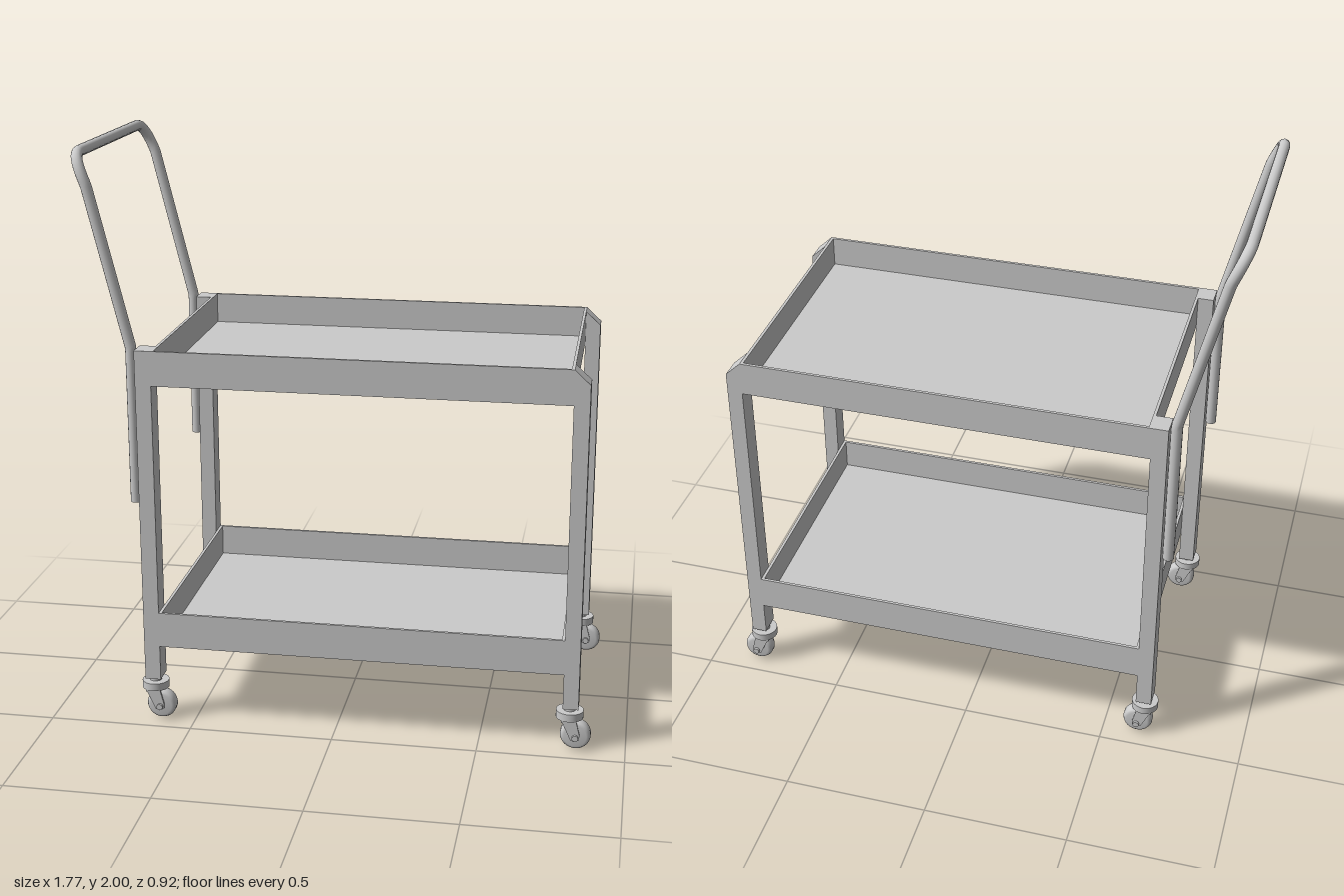
import * as THREE from 'three';

const material = new THREE.MeshStandardMaterial({ color: 0xcccccc, side: THREE.DoubleSide });

function add(parent, name, geometry, x = 0, y = 0, z = 0) {
  const mesh = new THREE.Mesh(geometry, material);
  mesh.name = name;
  mesh.position.set(x, y, z);
  parent.add(mesh);
  return mesh;
}

// Box given by its minimum and maximum corners
function box(parent, name, [x0, y0, z0], [x1, y1, z1]) {
  return add(parent, name, new THREE.BoxGeometry(x1 - x0, y1 - y0, z1 - z0),
    (x0 + x1) / 2, (y0 + y1) / 2, (z0 + z1) / 2);
}

// Outline in x and y, extruded symmetrically along z
function plate(points, depth) {
  const shape = new THREE.Shape(points.map(([x, y]) => new THREE.Vector2(x, y)));
  return new THREE.ExtrudeGeometry(shape, { depth, bevelEnabled: false }).translate(0, 0, -depth / 2);
}

const X0 = -0.615, X1 = 0.785, Z = 0.45, TOP = 1.34;
const LEG_Z = 0.413, LEG_W = 0.074;

// Open tray: floor and four thin walls
function tray(y0, y1) {
  const g = new THREE.Group();
  const t = 0.01;
  box(g, 'trayFloor', [X0, y0, -Z], [X1, y0 + 0.012, Z]);
  for (const s of [-1, 1]) {
    const z = s * (Z - t / 2);
    box(g, 'traySideWall', [X0, y0, z - t / 2], [X1, y1, z + t / 2]);
    const x = s < 0 ? X0 : X1 - t;
    box(g, 'trayEndWall', [x, y0, -Z + t], [x + t, y1, Z - t]);
  }
  return g;
}

// Swivel caster, origin on the ground below the leg centre, trailing toward +x
function caster() {
  const g = new THREE.Group();
  g.name = 'caster';
  const axleX = 0.022, axleY = 0.052;
  add(g, 'stem', new THREE.CylinderGeometry(0.021, 0.021, 0.03, 20), 0, 0.147, 0);
  add(g, 'swivelDisc', new THREE.CylinderGeometry(0.047, 0.047, 0.027, 24), 0, 0.126, 0);
  add(g, 'forkCrown', new THREE.BoxGeometry(0.05, 0.012, 0.074), -0.002, 0.11, 0);
  // Fork arms
  for (const s of [-1, 1]) {
    const arm = plate([[-0.027, 0.115], [0.006, 0.042], [0.02, 0.036], [0.036, 0.044], [0.037, 0.06], [0.023, 0.115]], 0.007);
    add(g, 'forkArm', arm, 0, 0, s * 0.0345);
  }
  // Wheel with a rounded tread
  const profile = [[0, -0.026], [0.038, -0.026], [0.047, -0.02], [0.052, -0.01],
    [0.052, 0.01], [0.047, 0.02], [0.038, 0.026], [0, 0.026]];
  const wheel = new THREE.LatheGeometry(profile.map(p => new THREE.Vector2(...p)), 32);
  add(g, 'wheel', wheel, axleX, axleY, 0).rotation.x = Math.PI / 2;
  add(g, 'axle', new THREE.CylinderGeometry(0.011, 0.011, 0.094, 12), axleX, axleY, 0).rotation.x = Math.PI / 2;
  return g;
}

// Bent tube handle, running up one side, across and down the other
function handle() {
  const g = new THREE.Group();
  g.name = 'handle';
  const r = 0.019, V = (x, y, z) => new THREE.Vector3(x, y, z);
  const half = s => [V(-0.69, 0.8, s * LEG_Z), V(-0.69, 1.34, s * LEG_Z), V(-0.822, 1.88, s * LEG_Z),
    V(-0.864, 1.98, s * LEG_Z), V(-0.866, 1.981, s * 0.335)];
  const a = half(1), b = half(-1), path = new THREE.CurvePath();
  path.add(new THREE.LineCurve3(a[0], a[1]));
  path.add(new THREE.LineCurve3(a[1], a[2]));
  path.add(new THREE.QuadraticBezierCurve3(a[2], a[3], a[4]));
  path.add(new THREE.LineCurve3(a[4], b[4]));
  path.add(new THREE.QuadraticBezierCurve3(b[4], b[3], b[2]));
  path.add(new THREE.LineCurve3(b[2], b[1]));
  path.add(new THREE.LineCurve3(b[1], b[0]));
  add(g, 'handleTube', new THREE.TubeGeometry(path, 180, r, 14, false));
  for (const s of [-1, 1]) {
    add(g, 'handleEndCap', new THREE.CircleGeometry(r, 14), -0.69, 0.8, s * LEG_Z).rotation.x = Math.PI / 2;
  }
  return g;
}

export function createModel() {
  const model = new THREE.Group();
  model.name = 'utilityCart';

  const upper = tray(1.22, TOP), lower = tray(0.28, 0.405);
  upper.name = 'upperTray';
  lower.name = 'lowerTray';
  model.add(upper, lower, handle());

  // Legs: square-topped at the handle end, chamfered at the far end
  for (const s of [-1, 1]) {
    const z = s * LEG_Z;
    box(model, 'handleLeg', [-0.67, 0.155, z - LEG_W / 2], [X0, TOP, z + LEG_W / 2]);
    const farLeg = plate([[X1, 0.155], [0.838, 0.155], [0.838, 1.29], [X1, TOP]], LEG_W);
    add(model, 'farLeg', farLeg, 0, 0, z);
    for (const x of [-0.643, 0.808]) {
      const c = caster();
      c.position.set(x, 0, z);
      model.add(c);
    }
  }
  return model;
}
